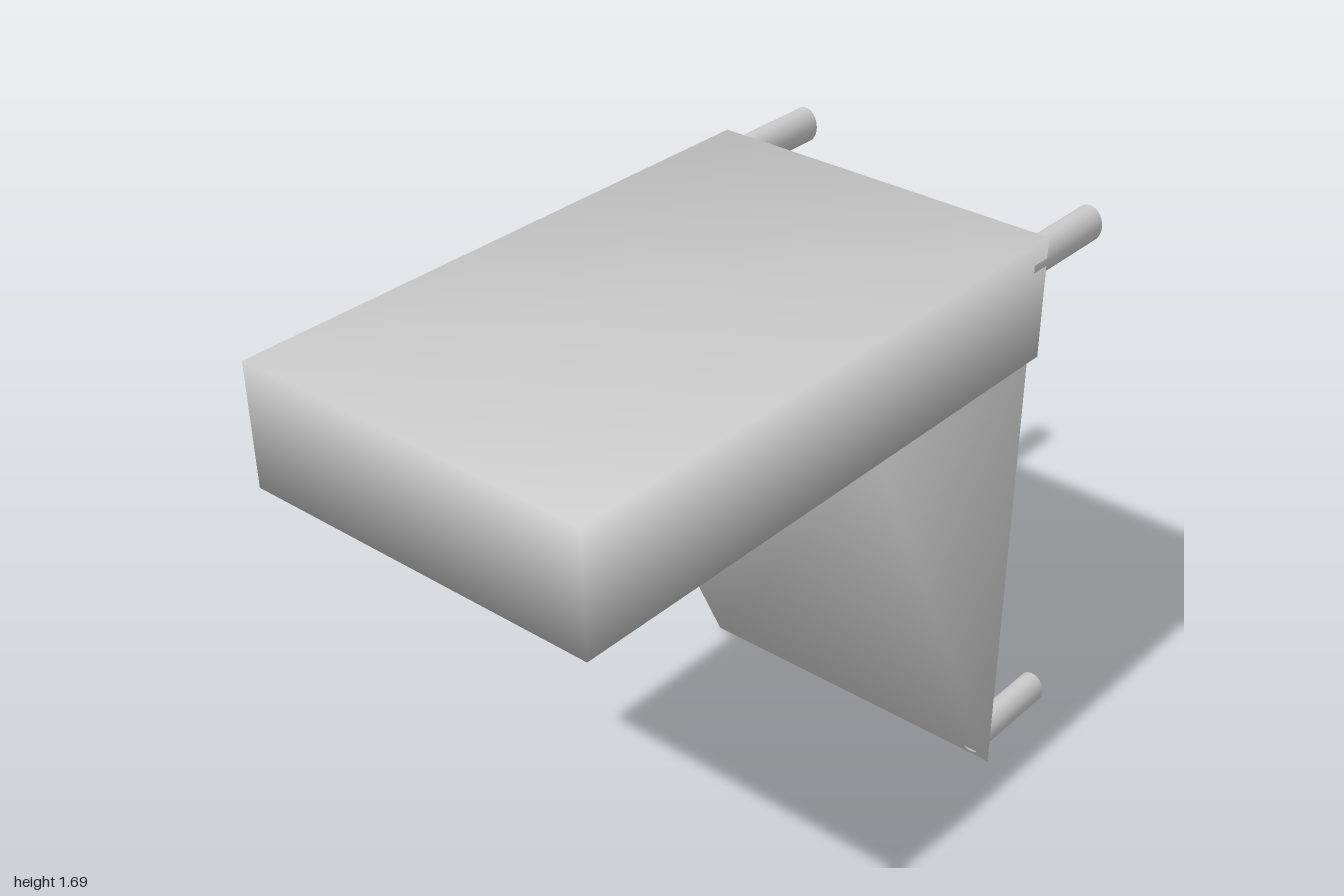
import * as THREE from 'three';
import { mergeVertices } from 'three/addons/utils/BufferGeometryUtils.js';

// Share the corners so the shading rolls smoothly round the edges.
function softened(geometry) {
  geometry.deleteAttribute('uv');
  geometry.deleteAttribute('normal');
  const merged = mergeVertices(geometry, 1e-4);
  merged.computeVertexNormals();
  return merged;
}

export function createModel() {
  const model = new THREE.Group();
  model.name = 'wallShelf';
  const material = new THREE.MeshStandardMaterial({ color: 0xcccccc });

  function add(name, geometry, x, y, z) {
    const mesh = new THREE.Mesh(geometry, material);
    mesh.name = name;
    mesh.position.set(x, y, z);
    model.add(mesh);
    return mesh;
  }

  // Thick shelf slab
  add('shelf', softened(new THREE.BoxGeometry(1.05, 0.34, 1.718)), 0, 1.52, 0.141);

  // Solid wedge bracket: profile drawn in (-z, y), extruded across the width
  const profile = new THREE.Shape([
    new THREE.Vector2(0.04, 1.35),
    new THREE.Vector2(0.685, 0),
    new THREE.Vector2(0.685, 1.35),
  ]);
  const wedge = new THREE.ExtrudeGeometry(profile, { depth: 1.03, bevelEnabled: false });
  wedge.rotateY(Math.PI / 2);
  add('bracket', softened(wedge), -0.515, 0, 0);

  // Oval wall pegs: x, y, front z, back z
  const pegs = [
    ['upperRightPeg', -0.47, 1.63, -0.66, -1],
    ['upperLeftPeg', 0.484, 1.622, -0.66, -0.98],
    ['lowerRightPeg', -0.468, 0.07, -0.68, -0.985],
    ['lowerLeftPeg', 0.46, 0.07, -0.672, -0.99],
  ];
  for (const [name, x, y, front, back] of pegs) {
    const peg = new THREE.CylinderGeometry(1, 1, front - back, 32);
    peg.rotateX(Math.PI / 2);
    peg.scale(0.042, 0.051, 1);
    add(name, peg, x, y, (front + back) / 2);
  }

  return model;
}
